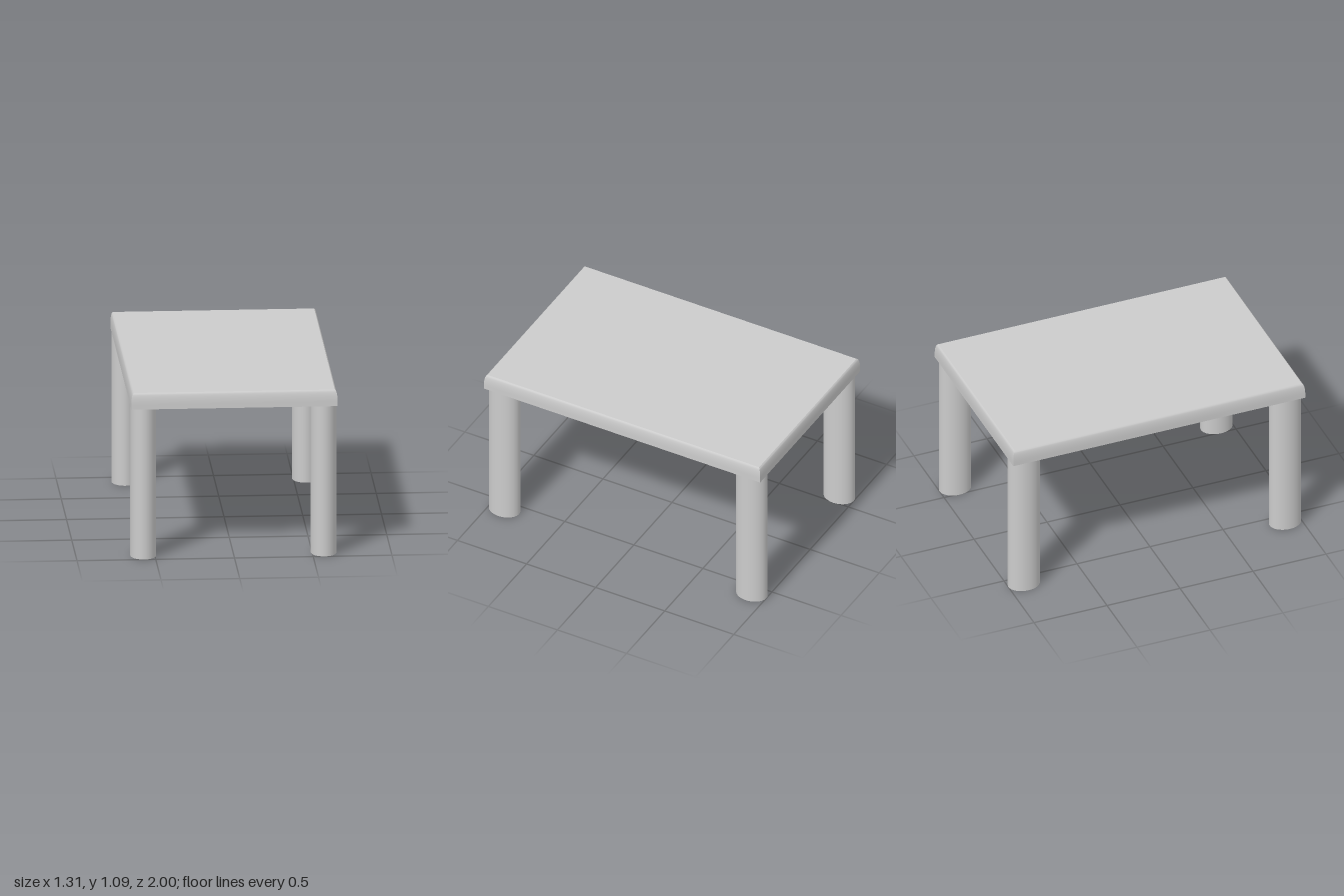
import * as THREE from 'three';

const HALF_W = 0.655, HALF_D = 1, UNDERSIDE = 0.985, TOP = 1.09;
const LEG_RX = 0.082, LEG_RZ = 0.105;

// Slab whose upper edges curve inward, with mitred corners
function makeTopGeometry() {
  const thickness = TOP - UNDERSIDE, inset = 0.017, curveHeight = 0.075;
  const geometry = new THREE.BoxGeometry(HALF_W * 2, thickness, HALF_D * 2, 1, 16, 1);
  const p = geometry.attributes.position;
  for (let i = 0; i < p.count; i++) {
    const rise = Math.max(0, p.getY(i) - (thickness / 2 - curveHeight)) / curveHeight;
    const pull = inset * (1 - Math.sqrt(Math.max(0, 1 - rise * rise)));
    p.setX(i, p.getX(i) - Math.sign(p.getX(i)) * pull);
    p.setZ(i, p.getZ(i) - Math.sign(p.getZ(i)) * pull);
  }
  geometry.computeVertexNormals();
  return geometry;
}

export function createModel() {
  const table = new THREE.Group();
  table.name = 'table';
  const material = new THREE.MeshStandardMaterial({ color: 0xcccccc });

  const top = new THREE.Mesh(makeTopGeometry(), material);
  top.name = 'tableTop';
  top.position.y = (UNDERSIDE + TOP) / 2;
  table.add(top);

  // Oval legs flush with the outer edges
  const legGeometry = new THREE.CylinderGeometry(1, 1, UNDERSIDE, 48);
  legGeometry.scale(LEG_RX, 1, LEG_RZ);
  for (const [sx, side] of [[1, 'Left'], [-1, 'Right']]) {
    for (const [sz, end] of [[1, 'front'], [-1, 'back']]) {
      const leg = new THREE.Mesh(legGeometry, material);
      leg.name = `${end}${side}Leg`;
      leg.position.set(sx * (HALF_W - LEG_RX), UNDERSIDE / 2, sz * (HALF_D - LEG_RZ));
      table.add(leg);
    }
  }
  return table;
}
